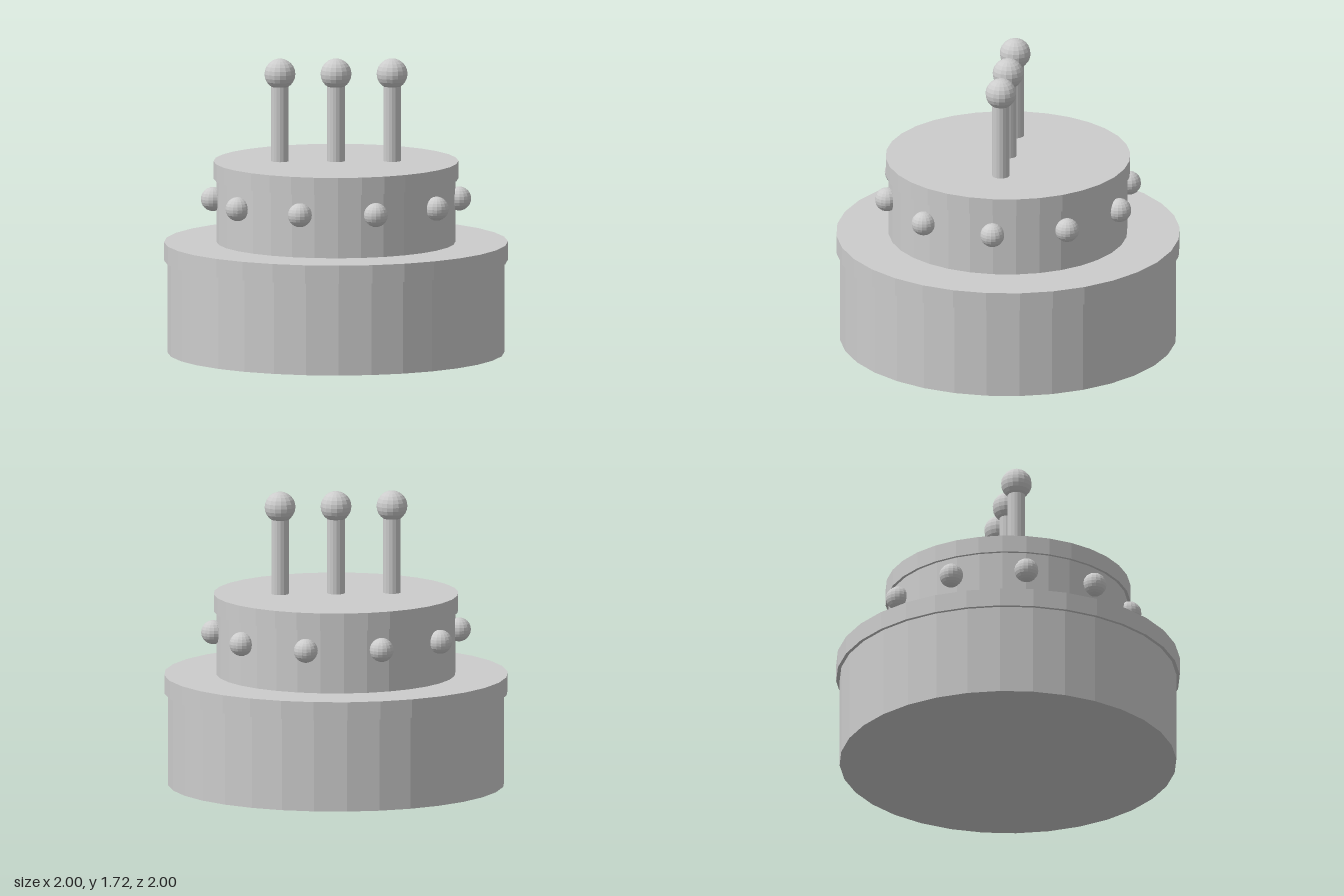
import * as THREE from 'three';

export function createModel() {
  const cake = new THREE.Group();
  cake.name = 'tieredCake';

  const plainGrey = new THREE.MeshStandardMaterial({ color: 0xcccccc });
  plainGrey.name = 'plainGrey';

  // Flat facets: every triangle gets its own normal
  const faceted = (geometry) => {
    const g = geometry.toNonIndexed();
    g.computeVertexNormals();
    return g;
  };
  const add = (name, geometry, x, y, z, parent = cake) => {
    const mesh = new THREE.Mesh(geometry, plainGrey);
    mesh.name = name;
    mesh.position.set(x, y, z);
    parent.add(mesh);
    return mesh;
  };
  const disc = (name, radius, bottom, top, sides = 32) =>
    add(name, faceted(new THREE.CylinderGeometry(radius, radius, top - bottom, sides)), 0, (bottom + top) / 2, 0);

  // Two tiers, each capped by a slightly wider layer of icing
  disc('lowerTier', 0.98, 0, 0.54);
  disc('lowerIcing', 1.0, 0.54, 0.648);
  disc('upperTier', 0.695, 0.648, 1.02);
  disc('upperIcing', 0.712, 1.02, 1.122);

  // Ring of round decorations set into the upper tier
  const beads = new THREE.Group();
  beads.name = 'beadRing';
  cake.add(beads);
  const beadShape = faceted(new THREE.SphereGeometry(0.07, 16, 12));
  for (let i = 0; i < 10; i++) {
    const a = (i / 10) * Math.PI * 2;
    add('bead', beadShape, 0.716 * Math.cos(a), 0.9, 0.716 * Math.sin(a), beads);
  }

  // Row of three candles with ball flames
  const stickShape = faceted(new THREE.CylinderGeometry(0.051, 0.051, 0.5, 16));
  const flameShape = faceted(new THREE.SphereGeometry(0.09, 16, 12));
  for (const x of [-0.326, 0, 0.326]) {
    const candle = new THREE.Group();
    candle.name = 'candle';
    candle.position.x = x;
    cake.add(candle);
    add('candleStick', stickShape, 0, 1.122 + 0.25, 0, candle);
    add('candleFlame', flameShape, 0, 1.633, 0, candle);
  }

  return cake;
}
